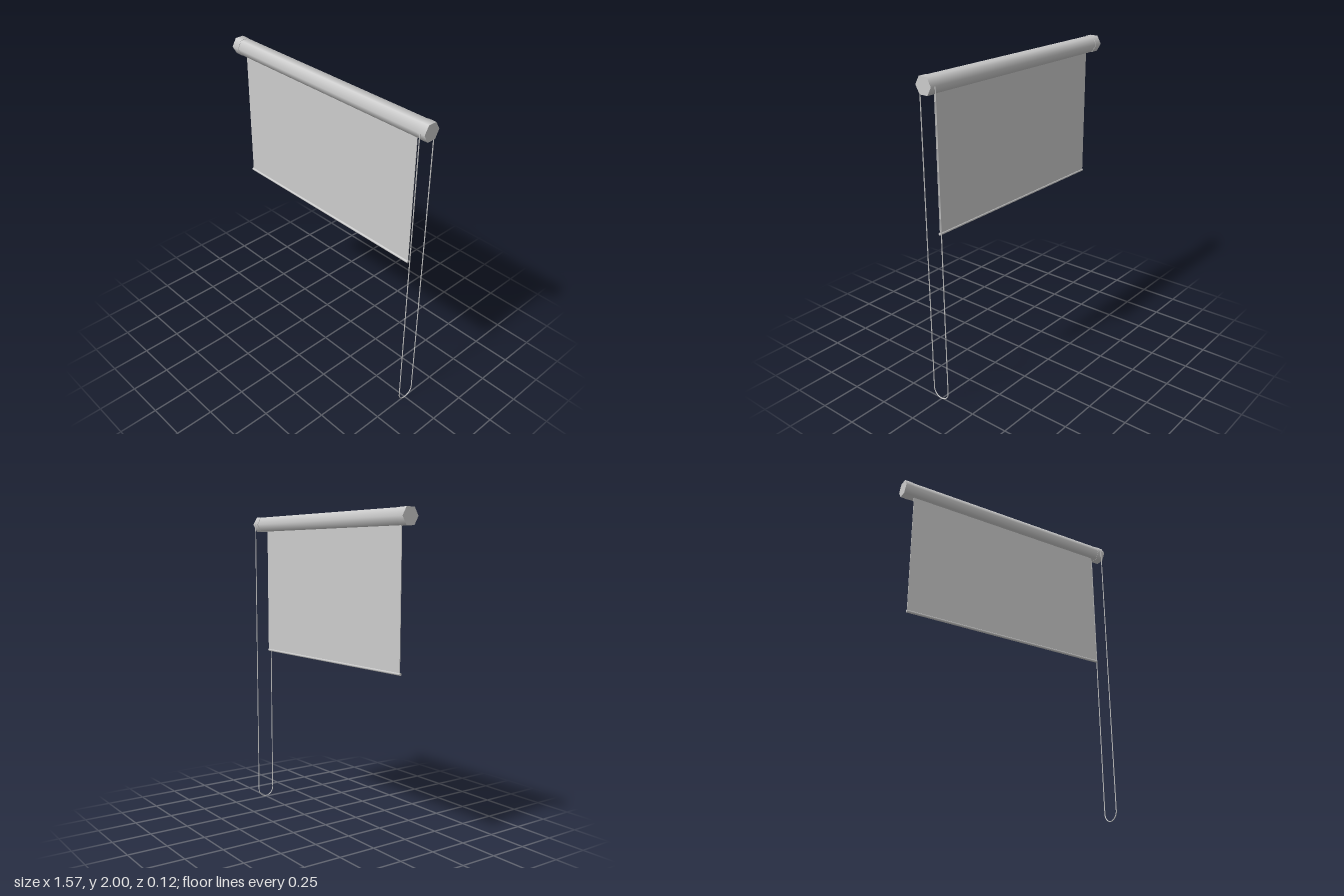
import * as THREE from 'three';

export function createModel() {
  const group = new THREE.Group();
  const material = new THREE.MeshStandardMaterial({ color: 0xcccccc });
  const add = (name, geometry, x, y, z) => {
    const mesh = new THREE.Mesh(geometry, material);
    mesh.name = name;
    mesh.position.set(x, y, z);
    group.add(mesh);
    return mesh;
  };
  // Prism or rod lying along x
  const rod = (radius, length, sides) =>
    new THREE.CylinderGeometry(radius, radius, length, sides).rotateZ(Math.PI / 2);

  const axisY = 1.951;

  // Hexagonal roller, shaded smooth, with a slightly larger cap on each end
  add('rollerTube', rod(0.0545, 1.48, 6), 0, axisY, 0);
  for (const [name, side] of [['leftEndCap', 1], ['rightEndCap', -1]]) {
    add(name, rod(0.0567, 0.054, 6), side * 0.759, axisY, 0);
  }

  // Hanging fabric and the bar in its bottom hem
  const top = 1.94, bottom = 1.083;
  add('fabric', new THREE.BoxGeometry(1.41, top - bottom, 0.004), -0.004, (top + bottom) / 2, 0.007);
  add('hemBar', rod(0.0085, 1.416, 8), -0.005, 1.083, 0.009);

  // Pull cord: two straight runs joined by a half ring at the bottom
  const cordX = 0.755, cordR = 0.0032, loopR = 0.0575;
  const loopY = loopR + cordR;
  for (const [name, side] of [['frontCord', 1], ['backCord', -1]]) {
    const cord = new THREE.CylinderGeometry(cordR, cordR, axisY - loopY, 8);
    add(name, cord, cordX, (axisY + loopY) / 2, side * loopR);
  }
  const loop = new THREE.TorusGeometry(loopR, cordR, 8, 20, Math.PI);
  loop.rotateZ(Math.PI).rotateY(Math.PI / 2);
  add('cordLoop', loop, cordX, loopY, 0);

  return group;
}
